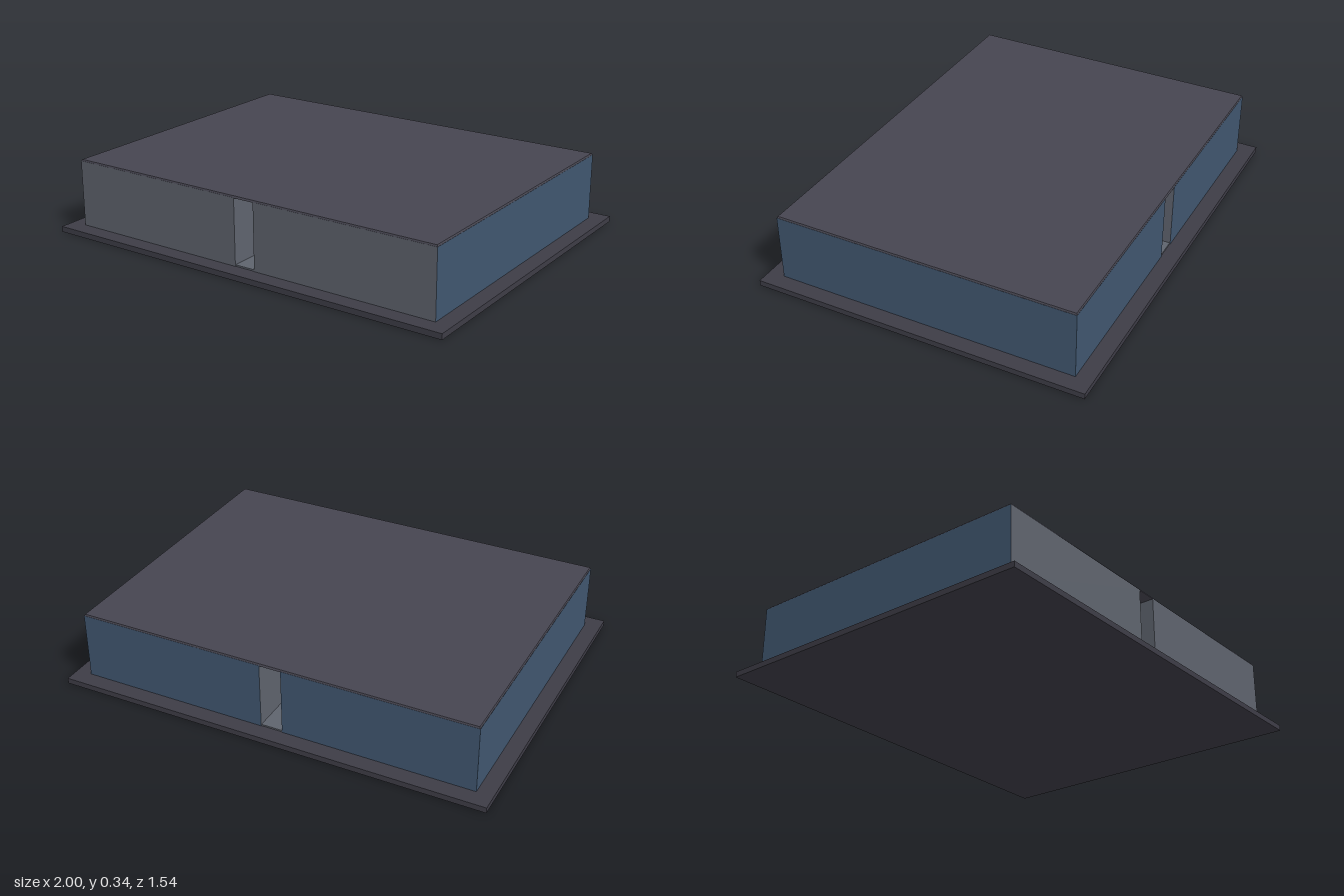
import * as THREE from 'three';

const paint = (color) => new THREE.MeshStandardMaterial({ color });

export function createModel() {
  const model = new THREE.Group();
  const slate = paint(0x3d3c46);
  const roofGrey = paint(0x464550);
  const blue = paint(0x40566f);
  const grey = paint(0x5e636d);

  // Box given by its size, bottom height and x position
  const addBox = (name, w, h, d, x, bottom, material) => {
    const mesh = new THREE.Mesh(new THREE.BoxGeometry(w, h, d), material);
    mesh.name = name;
    mesh.position.set(x, bottom + h / 2, 0);
    model.add(mesh);
    return mesh;
  };

  // Ground slab and the floor strip of the passage
  addBox('baseSlab', 2, 0.026, 1.54, 0, 0, slate);
  addBox('passageFloor', 0.1, 0.007, 1.385, 0, 0.026, grey);

  // Two blocks either side of the passage: blue outside, grey front and inner wall
  for (const side of [1, -1]) {
    const faces = [
      side > 0 ? blue : grey, // +x
      side > 0 ? grey : blue, // -x
      roofGrey, slate, // top, bottom
      grey, blue, // front, back
    ];
    addBox(side > 0 ? 'leftBlock' : 'rightBlock', 0.877, 0.307, 1.39, side * 0.4885, 0.026, faces);
  }

  // Thin roof bridging both blocks, slightly tapered at its upper rim
  const roof = addBox('roof', 1.854, 0.009, 1.39, 0, 0.331, roofGrey);
  const p = roof.geometry.attributes.position;
  for (let i = 0; i < p.count; i++) {
    if (p.getY(i) > 0) p.setXYZ(i, p.getX(i) * 0.995, p.getY(i), p.getZ(i) * 0.994);
  }
  roof.geometry.computeVertexNormals();

  return model;
}
